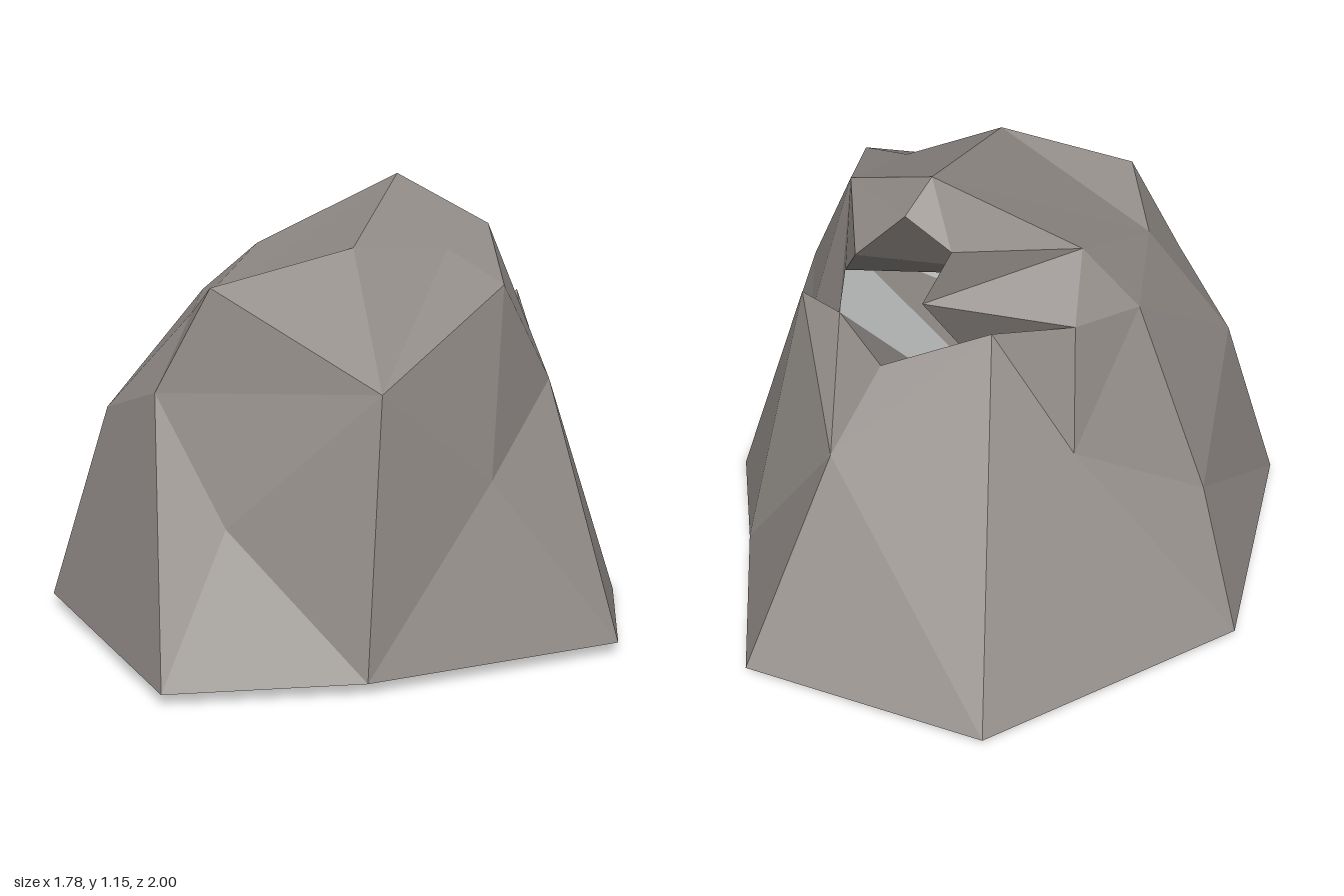
import * as THREE from 'three';

// Corner points of the faceted rock, grouped by level
const base = [[-0.895, -0.05], [-0.57, 0.595], [0.135, 1], [0.51, 0.665], [0.89, 0.07],
  [0.65, -0.38], [0.37, -0.63], [0, -1], [-0.64, -0.79]];

const points = {
  // flanks
  footL: [-0.67, 0.32, 0.09], notch: [-0.45, 0.5, -0.2], shoulderL: [-0.435, 0.815, 0.08],
  cheekL: [-0.465, 0.55, 0.47], brow: [-0.24, 0.82, 0.38], bulge: [-0.2, 0.65, 0.59],
  chin: [0.12, 0.37, 0.715], cheekR: [0.455, 0.72, 0.52], footR: [0.6, 0.455, 0.23],
  hipR: [0.57, 0.65, -0.12], ramp: [0.03, 0.5, -0.62], horn: [0.29, 0.81, -0.44],
  // crown
  front: [-0.08, 0.925, 0.505], top: [0.21, 1.025, 0.28], apex: [0.04, 1.15, -0.195],
  shoulderR: [0.535, 0.93, 0.07], dent: [0.34, 1.0, 0.03], rear: [0.33, 1.035, -0.2],
  ridgeL: [-0.28, 0.955, 0.03], lip: [0.04, 1.08, -0.3],
  // cave mouth
  beak: [0.1, 1.0, -0.425], rimL: [-0.1, 1.02, -0.28], shelf: [-0.05, 0.87, -0.34],
  sillL: [-0.2, 0.79, -0.24], sill: [0.02, 0.69, -0.43], sillR: [0.41, 0.61, -0.3],
  rimR: [0.2, 0.88, -0.365], jambR: [0.23, 0.73, -0.365], ledge: [-0.38, 0.83, -0.12],
  // cave chamber
  deepA: [0.02, 0.05, 0.75], deepB: [-0.16, 0.08, 0.16], deepC: [0.27, 0.35, 0.575],
  throatR: [0.44, 0.75, -0.13],
};
base.forEach(([x, z], i) => { points['b' + i] = [x, i === 5 ? 0 : 0.032, z]; });

// Each part is a set of fans: a hub followed by the corners around it
const parts = {
  frontWall: ['bulge cheekL b1 b2 chin cheekR front brow cheekL', 'chin b2 b3 cheekR',
    'cheekR b3 footR shoulderR dent top front'],
  leftWall: ['footL b0 b1 cheekL shoulderL notch b0', 'shoulderL ridgeL ledge notch'],
  rightWall: ['footR b3 b4 hipR shoulderR', 'hipR b4 b5 sillR rear shoulderR'],
  backWall: ['notch b0 b8 sillL ledge', 'ramp sillL b8 b7 b6 horn jambR sill sillL',
    'horn b6 b5 sillR jambR'],
  crown: ['brow front top apex ridgeL shoulderL cheekL', 'apex top dent rear lip rimL ridgeL',
    'shoulderR rear dent'],
  caveMouth: ['rear lip beak rimR jambR sillR', 'ridgeL ledge shelf rimL'],
  caveLining: ['deepA deepB throatR', 'deepC deepA deepB shelf rimL lip beak rimR throatR',
    'throatR rimR jambR', 'deepB shelf ledge sillL sill jambR'],
  paleLining: ['throatR deepA deepC', 'throatR deepB jambR'],
};

const core = new THREE.Vector3(0, 0.3, 0);

// Turns fans into loose triangles, each facing away from the core (or towards it)
function fanGeometry(fans, inward) {
  const corners = [];
  const v = (name) => new THREE.Vector3(...points[name]);
  for (const fan of fans) {
    const [hub, ...rim] = fan.split(' ').map(v);
    for (let i = 0; i < rim.length - 1; i++) {
      const tri = new THREE.Triangle(hub, rim[i], rim[i + 1]);
      const out = tri.getMidpoint(new THREE.Vector3()).sub(core);
      const facesOut = tri.getNormal(new THREE.Vector3()).dot(out) > 0;
      corners.push(...(facesOut !== inward ? [hub, rim[i], rim[i + 1]] : [hub, rim[i + 1], rim[i]]));
    }
  }
  const geometry = new THREE.BufferGeometry().setFromPoints(corners);
  geometry.computeVertexNormals();
  return geometry;
}

function makeStone(name, color) {
  const material = new THREE.MeshStandardMaterial({ color, flatShading: true, side: THREE.DoubleSide });
  material.name = name;
  return material;
}

export function createModel() {
  const rock = new THREE.Group();
  rock.name = 'hollowRock';
  const warm = makeStone('warm grey stone', 0x8f8985);
  const pale = makeStone('pale grey stone', 0xc0c1c1);
  for (const [name, fans] of Object.entries(parts)) {
    const geometry = fanGeometry(fans, name.endsWith('Lining'));
    const mesh = new THREE.Mesh(geometry, name === 'paleLining' ? pale : warm);
    mesh.name = name;
    rock.add(mesh);
  }
  return rock;
}
